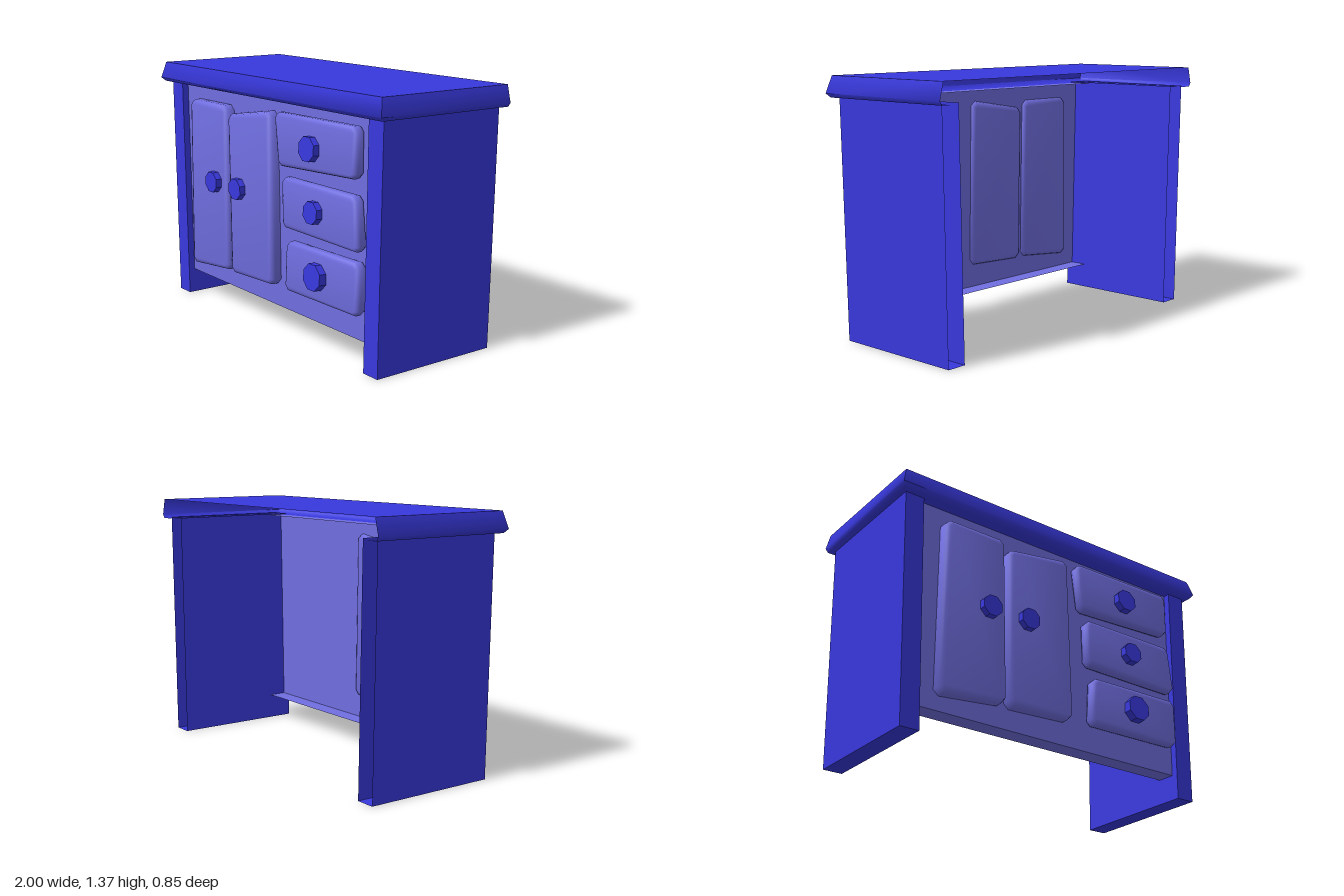
import * as THREE from 'three';
import { toCreasedNormals } from 'three/addons/utils/BufferGeometryUtils.js';

const blue = new THREE.MeshStandardMaterial({ color: 0x3838dd, side: THREE.DoubleSide });
const pale = new THREE.MeshStandardMaterial({ color: 0x706ee0, side: THREE.DoubleSide });

// Sheet between rows of points; optional caps close the first or last row of four
function sheet(rows, { capStart = false, capEnd = false, crease = 0.5 } = {}) {
  const pos = [];
  const quad = (a, b, c, d) => pos.push(...a, ...b, ...c, ...a, ...c, ...d);
  for (let r = 0; r < rows.length - 1; r++) {
    for (let i = 0; i < rows[r].length - 1; i++) {
      quad(rows[r][i], rows[r][i + 1], rows[r + 1][i + 1], rows[r + 1][i]);
    }
  }
  if (capStart) quad(...[...rows[0]].reverse());
  if (capEnd) quad(...rows[rows.length - 1]);
  const geo = new THREE.BufferGeometry();
  geo.setAttribute('position', new THREE.Float32BufferAttribute(pos, 3));
  return toCreasedNormals(geo, crease);
}

// Three-sided outline, open at the back
const channel = (x0, x1, y, front, back) =>
  [[x0, y, back], [x0, y, front], [x1, y, front], [x1, y, back]];

// Bevelled slab from a crooked quad with cut corners, filling z0 to z1
function crookedSlab(corners, z0, z1, bevel) {
  const pts = corners.map(([x, y]) => new THREE.Vector2(x, y));
  const mid = pts.reduce((m, p) => m.add(p), new THREE.Vector2()).multiplyScalar(1 / 4);
  // inset so that the bevel grows back to the given outline
  pts.forEach(p => {
    p.x -= Math.sign(p.x - mid.x) * bevel;
    p.y -= Math.sign(p.y - mid.y) * bevel;
  });
  const shape = new THREE.Shape();
  const cut = 0.014;
  pts.forEach((p, i) => {
    const toward = q => p.clone().add(q.clone().sub(p).setLength(cut));
    const a = toward(pts[(i + 3) % 4]), b = toward(pts[(i + 1) % 4]);
    if (i === 0) shape.moveTo(a.x, a.y); else shape.lineTo(a.x, a.y);
    shape.lineTo(b.x, b.y);
  });
  shape.closePath();
  const geo = new THREE.ExtrudeGeometry(shape, {
    depth: z1 - z0 - 2 * bevel, bevelEnabled: true,
    bevelThickness: bevel, bevelSize: bevel, bevelSegments: 2,
  });
  geo.translate(0, 0, z0 + bevel);
  return toCreasedNormals(geo, 0.95);
}

export function createModel() {
  const group = new THREE.Group();
  const add = (name, geo, mat) => {
    const mesh = new THREE.Mesh(geo, mat);
    mesh.name = name;
    group.add(mesh);
    return mesh;
  };

  // Worktop: hollow, with a flared rim and a lip turned in below
  const rim = [[0.93, 1.26, 0.31], [0.985, 1.26, 0.38], [1, 1.28, 0.4], [0.977, 1.37, 0.377]];
  add('worktop', sheet(rim.map(([x, y, z]) => channel(-x, x, y, z, -0.425)),
    { capEnd: true, crease: 1.2 }), blue);

  // Side walls: hollow, tapering down to the feet, open at the back
  for (const s of [1, -1]) {
    const row = (inner, outer, y) =>
      channel(Math.min(s * inner, s * outer), Math.max(s * inner, s * outer), y, 0.347, -0.392);
    add(s > 0 ? 'leftSide' : 'rightSide',
      sheet([row(0.823, 0.93, 0), row(0.848, 0.956, 1.265)], { capStart: true }), blue);
  }

  // Front panel, with flanges turned back along its top and bottom
  const panelRows = [[0.826, 0.14, 0.21], [0.826, 0.14, 0.31], [0.848, 1.26, 0.31], [0.848, 1.26, 0.21]];
  add('frontPanel', sheet(panelRows.map(([x, y, z]) => [[-x, y, z], [x, y, z]])), pale);

  // Doors, standing through the panel
  const doors = [
    [[-0.735, 0.215], [-0.34, 0.25], [-0.355, 1.18], [-0.725, 1.18]],
    [[-0.32, 0.248], [0.083, 0.265], [0.066, 1.197], [-0.333, 1.142]],
  ];
  doors.forEach((c, i) => add('door' + (i + 1), crookedSlab(c, 0.29, 0.375, 0.025), pale));

  // Drawer fronts
  const drawers = [
    [[0.15, 0.928], [0.785, 0.955], [0.787, 1.21], [0.122, 1.205]],
    [[0.187, 0.61], [0.812, 0.603], [0.785, 0.877], [0.182, 0.877]],
    [[0.205, 0.276], [0.808, 0.283], [0.808, 0.553], [0.22, 0.545]],
  ];
  drawers.forEach((c, i) => add('drawer' + (i + 1), crookedSlab(c, 0.315, 0.38, 0.02), pale));

  // Eight-sided knobs: x, y, radius, front z, tilt
  const knobs = [
    [-0.455, 0.745, 0.06, 0.41, 0], [-0.215, 0.745, 0.06, 0.41, 0],
    [0.45, 1.06, 0.066, 0.417, -0.06], [0.48, 0.745, 0.06, 0.417, -0.06],
    [0.5, 0.42, 0.072, 0.422, -0.06],
  ];
  knobs.forEach(([x, y, r, z, tilt], i) => {
    const geo = new THREE.CylinderGeometry(r, r, 0.06, 8);
    geo.rotateY(Math.PI / 8).rotateX(Math.PI / 2 + tilt);
    add('knob' + (i + 1), toCreasedNormals(geo, 0.5), blue).position.set(x, y, z - 0.03);
  });

  return group;
}
